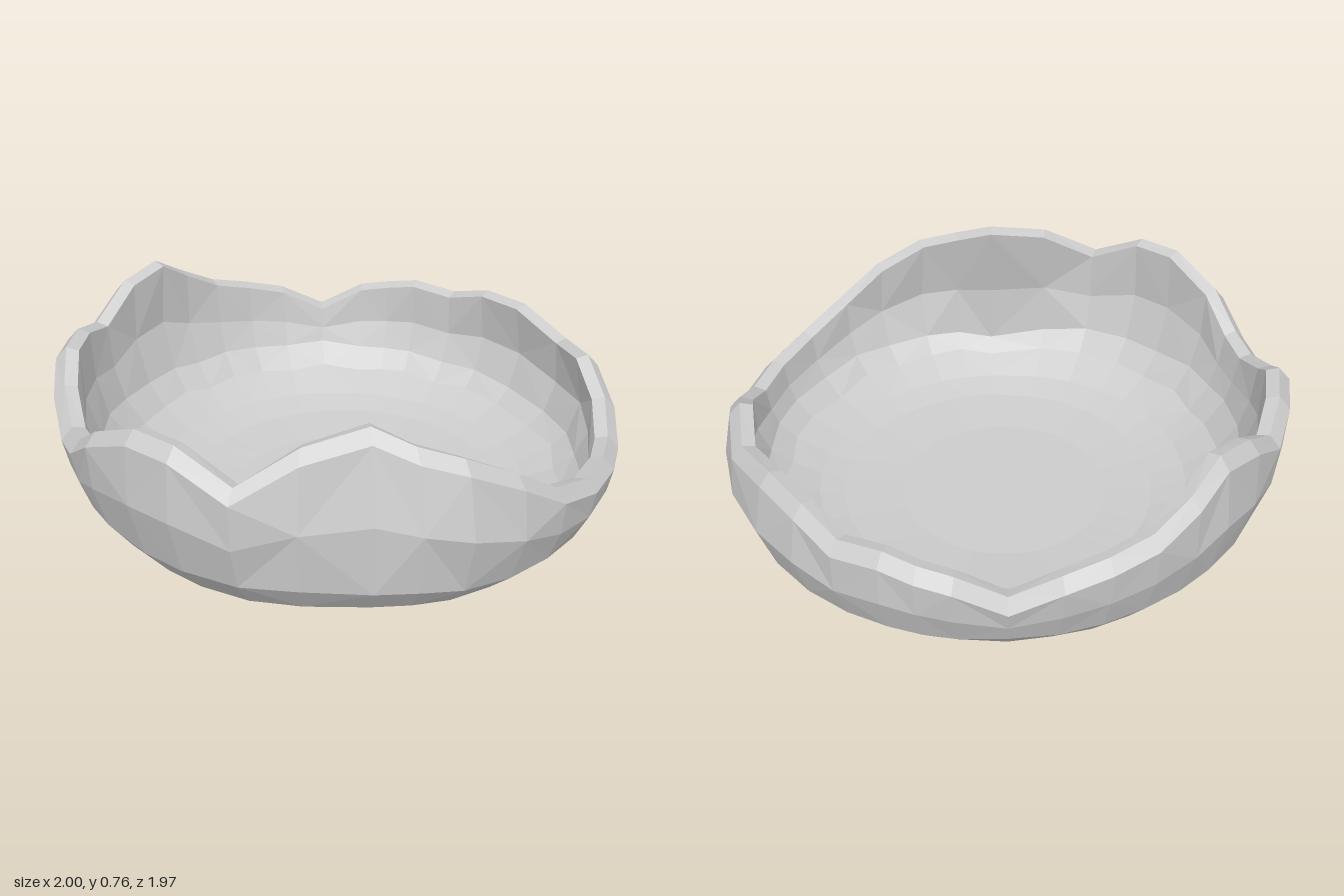
import * as THREE from 'three';

// Jagged rim: [angle in degrees from the front towards +x, crest height]
const RIM = [
  [0, 0.61], [12, 0.72], [27, 0.76], [36, 0.71], [45, 0.67], [56, 0.585], [66, 0.48], [78, 0.42],
  [90, 0.40], [100, 0.39], [110, 0.46], [120, 0.55], [133, 0.52], [148, 0.575], [160, 0.57],
  [170, 0.52], [180, 0.54], [187, 0.52], [194, 0.50], [204, 0.42], [214, 0.50], [223, 0.54],
  [232, 0.58], [241, 0.66], [249, 0.74], [259, 0.71], [270, 0.61], [280, 0.655], [290, 0.66],
  [298, 0.58], [309, 0.51], [317, 0.53], [326, 0.63], [338, 0.715], [348, 0.71],
];

// Rounded shell profile: [height, radius]
const PROFILE = [
  [0, 0.38], [0.02, 0.58], [0.06, 0.71], [0.14, 0.85], [0.25, 0.94],
  [0.38, 0.985], [0.47, 1], [0.56, 1], [0.65, 0.985], [0.8, 0.945], [1, 0.88],
];
const THICKNESS = 0.085;

function profileRadius(y) {
  const i = PROFILE.findIndex(([h]) => y <= h);
  if (i === 0) return PROFILE[0][1];
  const [y0, r0] = PROFILE[i - 1], [y1, r1] = PROFILE[i];
  return THREE.MathUtils.mapLinear(y, y0, y1, r0, r1);
}

// One upright cross-section, from the underside centre over the rim to the floor centre
function section(deg, crest, index) {
  const a = THREE.MathUtils.degToRad(deg);
  const lean = 0.9 - 0.17 * Math.sin(a) + 0.08 * Math.cos(a);
  const flat = 0.1 * Math.exp(-(((deg - 23) / 16) ** 2)); // flattened front corner
  const wobble = 0.008 * Math.sin(index * 2.4);
  const radius = (y) => profileRadius(y / lean) * (1 - flat * Math.min(1.4, y / 0.4));

  const lip = crest - 0.045;
  const wall = 0.25 * lean + wobble;
  const heights = [0, 0.02, 0.06 * lean, 0.14 * lean + wobble, wall, (wall + lip) / 2, lip];
  const outer = heights.map((y) => [radius(y), y]);
  const top = radius(lip);
  const rim = [[top - 0.04, crest], [top - THICKNESS, crest - 0.012]];

  // Inside wall: the outer points moved inwards across the profile
  const inner = outer.slice(0, -1).map(([r, y], k) => {
    const [r0, y0] = outer[k - 1] ?? [0, 0];
    const [r1, y1] = outer[k + 1];
    const step = THICKNESS / Math.hypot(r1 - r0, y1 - y0);
    return [r - (y1 - y0) * step, y + (r1 - r0) * step];
  }).reverse();

  return [[0, 0], ...outer, ...rim, ...inner, [0, THICKNESS]].map(([r, y]) =>
    new THREE.Vector3(r * Math.sin(a), y, r * Math.cos(a)));
}

function shellGeometry() {
  const columns = RIM.map(([deg, h], i) => section(deg, h, i));
  const rows = columns[0].length;
  const positions = [];
  const triangle = (...points) => points.forEach((p) => positions.push(p.x, p.y, p.z));
  columns.forEach((col, i) => {
    const next = columns[(i + 1) % columns.length];
    for (let k = 0; k < rows - 1; k++) {
      const a = col[k], b = next[k], c = next[k + 1], d = col[k + 1];
      if (k === 0) triangle(a, c, d);
      else if (k === rows - 2) triangle(a, b, c);
      else if ((i + k) % 2) { triangle(a, b, c); triangle(a, c, d); }
      else { triangle(a, b, d); triangle(b, c, d); }
    }
  });
  const geometry = new THREE.BufferGeometry();
  geometry.setAttribute('position', new THREE.Float32BufferAttribute(positions, 3));
  geometry.computeVertexNormals();
  return geometry;
}

export function createModel() {
  const group = new THREE.Group();
  group.name = 'brokenShell';
  // Thick-walled broken shell, open at the top
  const shell = new THREE.Mesh(
    shellGeometry(),
    new THREE.MeshStandardMaterial({ color: 0xcccccc, flatShading: true }),
  );
  shell.name = 'shell';
  group.add(shell);
  return group;
}
